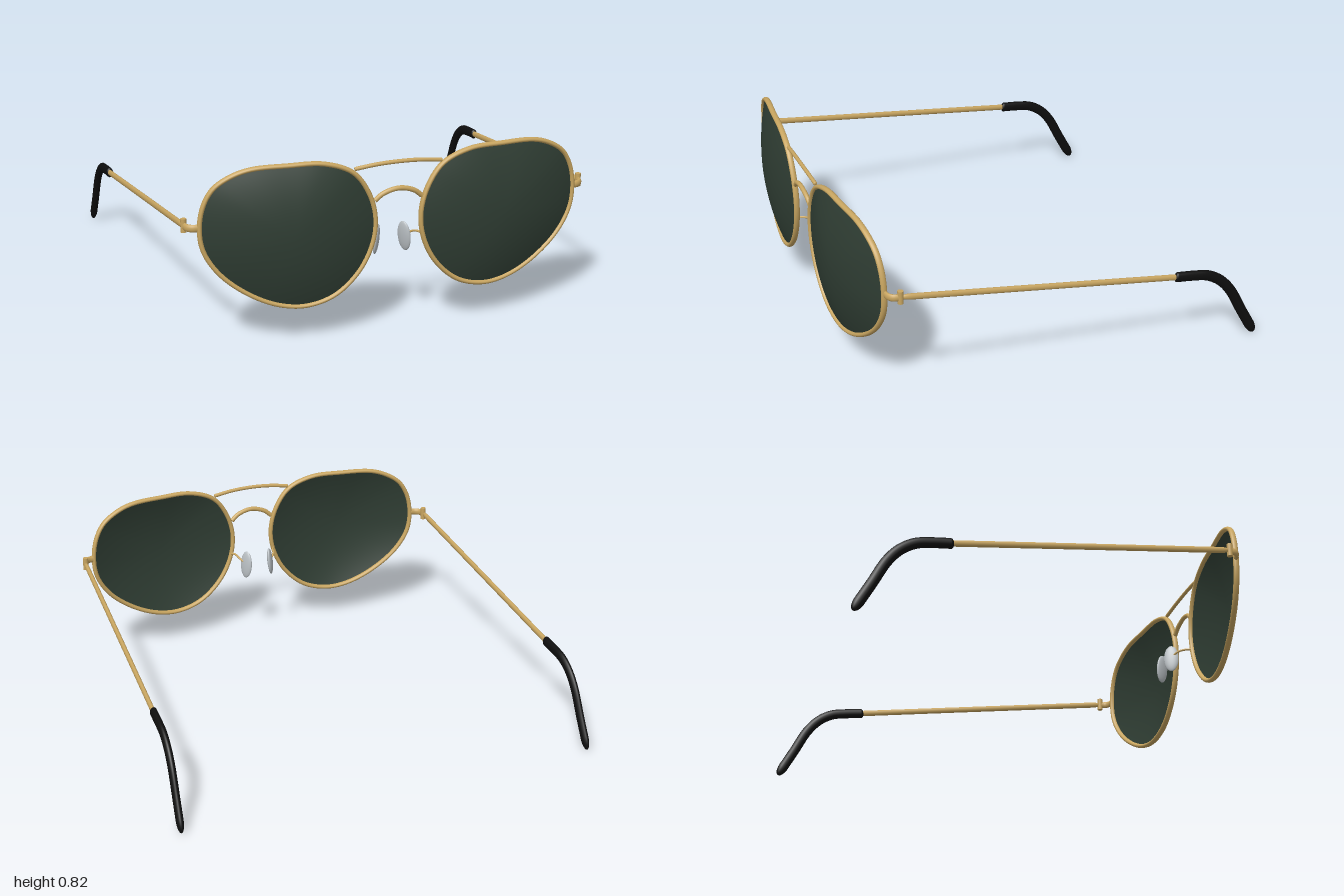
import * as THREE from 'three';

const V = (x, y, z) => new THREE.Vector3(x, y, z);
const material = (name, color, side = THREE.FrontSide) => {
  const m = new THREE.MeshStandardMaterial({ color, side });
  m.name = name;
  return m;
};

// Gentle wrap of the whole front
const wrapZ = (x) => 0.905 - 0.105 * x * x;

// Centreline of one rim, starting on the nose side and passing over the top
const OUTLINE = [
  [0.105, 0.545], [0.135, 0.66], [0.205, 0.758], [0.33, 0.808], [0.49, 0.813], [0.65, 0.806],
  [0.74, 0.775], [0.805, 0.728], [0.847, 0.65], [0.862, 0.545], [0.846, 0.45], [0.78, 0.345],
  [0.66, 0.247], [0.53, 0.187], [0.41, 0.173], [0.285, 0.21], [0.178, 0.308], [0.118, 0.43],
];

function geometryFrom(positions, index) {
  const g = new THREE.BufferGeometry();
  g.setAttribute('position', new THREE.Float32BufferAttribute(positions, 3));
  g.setIndex(index);
  g.computeVertexNormals();
  return g;
}

// Sweeps an ellipse along a curve: half-size a along the axis, b across it; open ends are rounded
function sweep(curve, axis, a, b, { closed = false, caps = [0.01, 0.01], steps = 64 } = {}) {
  const sides = 14, pos = [], index = [];
  const round = (u, cap) => (u >= cap ? 1 : Math.sqrt(Math.max(0, 1 - (1 - u / cap) ** 2)));
  const rings = closed ? steps : steps + 1;
  for (let i = 0; i < rings; i++) {
    const u = closed ? i / steps : (1 - Math.cos((Math.PI * i) / steps)) / 2;
    const c = curve.getPointAt(u), t = curve.getTangentAt(u);
    const e = axis.clone().addScaledVector(t, -axis.dot(t)).normalize();
    const n = t.clone().cross(e);
    const k = closed ? 1 : Math.max(0.001, round(u, caps[0]) * round(1 - u, caps[1]));
    for (let j = 0; j < sides; j++) {
      const w = (j / sides) * Math.PI * 2;
      const p = c.clone().addScaledVector(e, a * k * Math.cos(w)).addScaledVector(n, b * k * Math.sin(w));
      pos.push(p.x, p.y, p.z);
    }
  }
  for (let i = 0; i < steps; i++) {
    for (let j = 0; j < sides; j++) {
      const i2 = (i + 1) % rings, j2 = (j + 1) % sides;
      const A = i * sides + j, B = i * sides + j2, C = i2 * sides + j, D = i2 * sides + j2;
      index.push(A, B, C, B, D, C);
    }
  }
  return geometryFrom(pos, index);
}

// Domed lens made of rings shrinking from the rim to the centre
function lensGeometry(rim, s) {
  const rings = 14, seg = 96, cx = 0.48 * s, cy = 0.5, bulge = 0.06, pos = [], index = [];
  for (let r = 0; r < rings; r++) {
    const k = 1 - r / rings;
    for (let i = 0; i < seg; i++) {
      const p = rim.getPointAt(i / seg);
      const x = cx + (p.x - cx) * k, y = cy + (p.y - cy) * k;
      pos.push(x, y, wrapZ(x) + bulge * (1 - k * k));
    }
  }
  pos.push(cx, cy, wrapZ(cx) + bulge);
  const quad = (a, b, c) => (s > 0 ? index.push(a, c, b) : index.push(a, b, c));
  for (let r = 0; r < rings; r++) {
    for (let i = 0; i < seg; i++) {
      const a = r * seg + i, b = r * seg + ((i + 1) % seg);
      if (r === rings - 1) quad(a, b, rings * seg);
      else { quad(a, b, a + seg); quad(b, b + seg, a + seg); }
    }
  }
  return geometryFrom(pos, index);
}

export function createModel() {
  const model = new THREE.Group();
  model.name = 'sunglasses';
  const gold = material('gold metal', 0xc8a560);
  const green = material('dark green lens', 0x2f3d33, THREE.DoubleSide);
  const black = material('black tip', 0x0e0e0e);
  const silver = material('clear grey pad', 0xb9bfc3);

  const add = (name, geometry, mat, parent = model) => {
    const mesh = new THREE.Mesh(geometry, mat);
    mesh.name = name;
    parent.add(mesh);
    return mesh;
  };
  const curve = (pts, closed = false) => new THREE.CatmullRomCurve3(pts, closed, 'centripetal');
  const X = V(1, 0, 0), Y = V(0, 1, 0), Z = V(0, 0, 1);

  // Brow bar and nose bridge
  add('browBar', sweep(curve([V(-0.2, 0.773, 0.9), V(-0.1, 0.786, 0.906), V(0, 0.79, 0.908),
    V(0.1, 0.786, 0.906), V(0.2, 0.773, 0.9)]), Z, 0.009, 0.009), gold);
  add('bridge', sweep(curve([V(-0.108, 0.622, 0.903), V(-0.07, 0.652, 0.907), V(0, 0.67, 0.91),
    V(0.07, 0.652, 0.907), V(0.108, 0.622, 0.903)]), Z, 0.011, 0.011), gold);

  for (const s of [1, -1]) {
    const half = new THREE.Group();
    half.name = s > 0 ? 'leftSide' : 'rightSide';
    model.add(half);
    const path = (pts) => curve(pts.map(([x, y, z]) => V(x * s, y, z)));

    // Rim and lens
    const rim = curve(OUTLINE.map(([x, y]) => V(x * s, y, wrapZ(x))), true);
    add('rim', sweep(rim, Z, 0.014, 0.0105, { closed: true, steps: 120 }), gold, half);
    add('lens', lensGeometry(rim, s), green, half);

    // Nose pad on its curved arm
    add('padArm', sweep(path([[0.117, 0.445, 0.895], [0.103, 0.447, 0.87], [0.092, 0.436, 0.835],
      [0.068, 0.415, 0.812]]), Y, 0.005, 0.005, { steps: 24 }), gold, half);
    const pad = add('nosePad', new THREE.SphereGeometry(1, 28, 18), silver, half);
    pad.scale.set(0.013, 0.07, 0.036);
    pad.position.set(0.065 * s, 0.408, 0.81);
    pad.rotation.set(0, 0.5 * s, 0.1 * s);

    // End piece curving back to the hinge barrel
    add('endPiece', sweep(path([[0.86, 0.56, 0.825], [0.89, 0.56, 0.82], [0.91, 0.56, 0.803],
      [0.917, 0.56, 0.77]]), Y, 0.017, 0.01, { steps: 28 }), gold, half);
    const hinge = add('hinge', new THREE.CylinderGeometry(0.013, 0.013, 0.06, 20), gold, half);
    hinge.position.set(0.917 * s, 0.562, 0.775);

    // Temple arm and bent tip
    add('temple', sweep(path([[0.918, 0.562, 0.775], [0.942, 0.472, 0.12], [0.966, 0.382, -0.53]]),
      X, 0.0105, 0.0145, { caps: [0.035, 0.01] }), gold, half);
    add('templeTip', sweep(path([[0.965, 0.385, -0.505], [0.968, 0.374, -0.6], [0.97, 0.36, -0.67],
      [0.972, 0.322, -0.735], [0.974, 0.26, -0.79], [0.977, 0.14, -0.855], [0.981, 0.008, -0.928]]),
      X, 0.0165, 0.0245, { caps: [0.02, 0.09], steps: 72 }), black, half);
  }
  return model;
}
